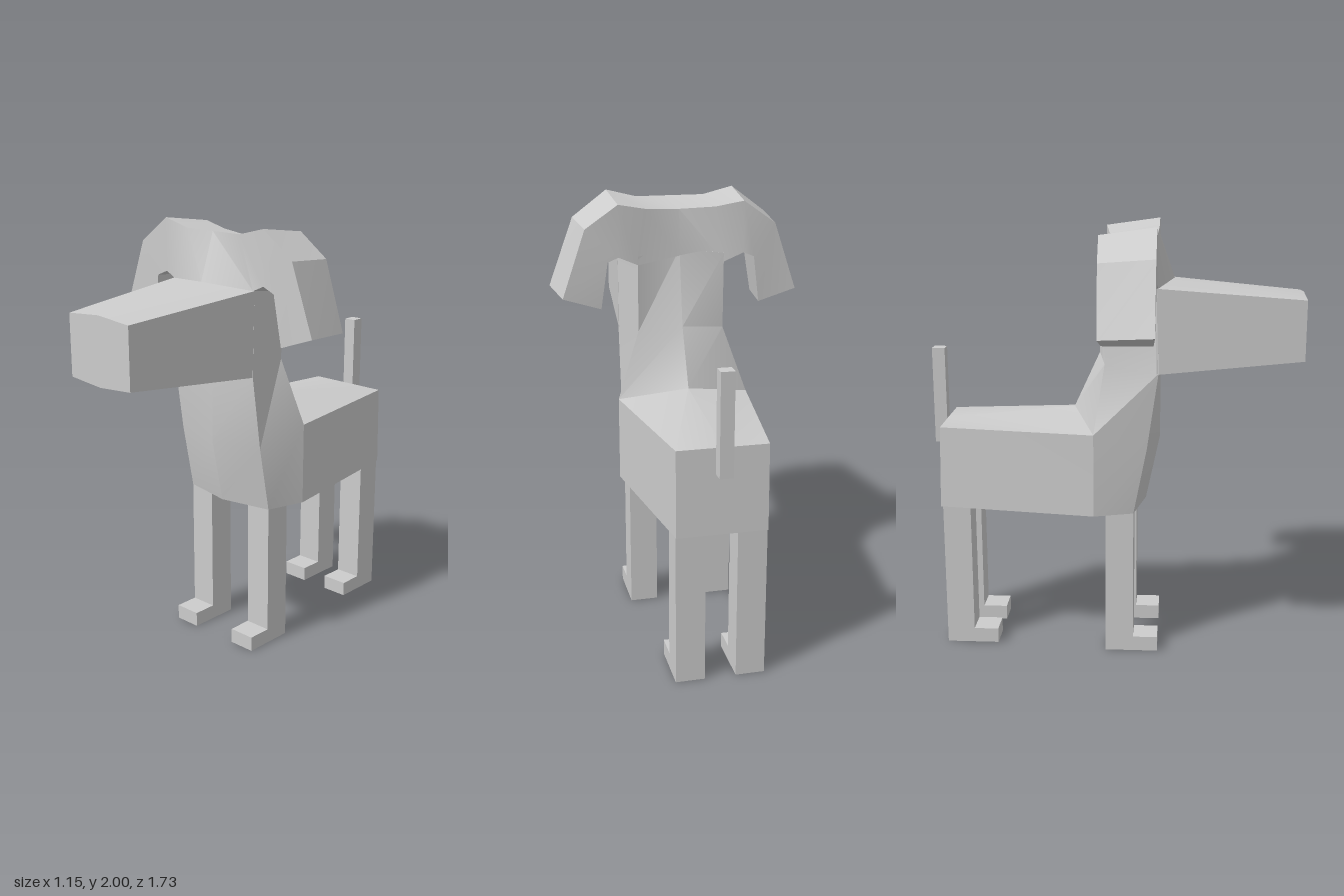
import * as THREE from 'three';
import { toCreasedNormals } from 'three/addons/utils/BufferGeometryUtils.js';

const material = new THREE.MeshStandardMaterial({ color: 0xcccccc });

// Completes a half ring (first and last points on x = 0) by mirroring it
const mirrorRing = (half) => [
  ...half,
  ...half.slice(1, -1).reverse().map(([x, y, z]) => [-x, y, z]),
];

// Skins a list of rings and closes both ends
function loft(name, rings) {
  const n = rings[0].length;
  const last = (rings.length - 1) * n;
  const index = [];
  for (let i = 0; i < rings.length - 1; i++) {
    for (let j = 0; j < n; j++) {
      const a = i * n + j, b = i * n + (j + 1) % n;
      index.push(a, b, b + n, a, b + n, a + n);
    }
  }
  for (let j = 1; j < n - 1; j++) {
    index.push(0, j + 1, j, last, last + j, last + j + 1);
  }
  const geometry = new THREE.BufferGeometry();
  geometry.setAttribute('position', new THREE.Float32BufferAttribute(rings.flat(2), 3));
  geometry.setIndex(index);
  const mesh = new THREE.Mesh(toCreasedNormals(geometry, 0.4), material);
  mesh.name = name;
  return mesh;
}

// Box given by its minimum and maximum corners
function box(name, [x0, y0, z0], [x1, y1, z1]) {
  const mesh = new THREE.Mesh(new THREE.BoxGeometry(x1 - x0, y1 - y0, z1 - z0), material);
  mesh.position.set((x0 + x1) / 2, (y0 + y1) / 2, (z0 + z1) / 2);
  mesh.name = name;
  return mesh;
}

// Upright with a short foot pointing forward
function leg(name, x, z) {
  const group = new THREE.Group();
  group.name = name;
  const w = 0.065;
  group.add(
    box('shank', [x - w, 0, z - w], [x + w, 0.7, z + w]),
    box('foot', [x - w, 0, z + w], [x + w, 0.07, z + w + 0.115]),
  );
  return group;
}

export function createModel() {
  const model = new THREE.Group();
  model.name = 'dog';

  // Trunk, rear to shoulders: bottom centre, bottom side, top side, top centre
  model.add(loft('trunk', [
    [[0, 0.69, -0.81], [0.2, 0.69, -0.81], [0.2, 1.075, -0.8], [0, 1.075, -0.8]],
    [[0, 0.69, -0.08], [0.305, 0.69, -0.08], [0.305, 1.075, -0.08], [0, 1.14, -0.19]],
  ].map(mirrorRing)));

  // Chest and neck, upward: front centre, front side, back side, back centre
  model.add(loft('chestAndNeck', [
    [[0, 0.69, 0.15], [0.25, 0.69, 0.1], [0.305, 0.69, -0.08], [0, 0.69, -0.08]],
    [[0, 1.0, 0.215], [0.25, 1.0, 0.16], [0.305, 1.075, -0.08], [0, 1.14, -0.19]],
    [[0, 1.35, 0.21], [0.25, 1.35, 0.21], [0.2, 1.38, -0.035], [0, 1.4, -0.07]],
    [[0, 1.75, 0.2], [0.25, 1.73, 0.2], [0.2, 1.73, -0.045], [0, 1.75, -0.01]],
  ].map(mirrorRing)));

  // Muzzle, from the face to the nose
  model.add(loft('muzzle', [
    [[0, 1.345, 0.2], [0.25, 1.345, 0.2], [0.25, 1.73, 0.2], [0, 1.75, 0.275]],
    [[0, 1.385, 0.865], [0.185, 1.4, 0.865], [0.185, 1.675, 0.865], [0, 1.69, 0.865]],
  ].map(mirrorRing)));

  // Crown and drooping ears: top front, bottom front, bottom back, top back
  const stations = [
    [[0, 1.965, 0.2], [0, 1.75, 0.275], [0, 1.72, -0.015], [0, 1.93, 0]],
    [[0.16, 1.965, 0.2], [0.245, 1.73, 0.205], [0.2, 1.69, -0.045], [0.16, 1.94, -0.035]],
    [[0.3, 2, 0.2], [0.3, 1.755, 0.2], [0.29, 1.73, -0.055], [0.29, 1.965, -0.055]],
    [[0.46, 1.88, 0.2], [0.36, 1.73, 0.2], [0.34, 1.71, -0.055], [0.44, 1.86, -0.05]],
    [[0.575, 1.565, 0.2], [0.395, 1.5, 0.19], [0.37, 1.495, -0.04], [0.545, 1.55, -0.045]],
  ];
  const mirrored = stations.slice(1).reverse()
    .map((ring) => ring.map(([x, y, z]) => [-x, y, z]));
  model.add(loft('crownAndEars', [...mirrored, ...stations]));

  // Legs
  for (const [side, s] of [['Left', 1], ['Right', -1]]) {
    model.add(leg(`front${side}Leg`, s * 0.185, 0.035));
    model.add(leg(`rear${side}Leg`, s * 0.135, -0.735));
  }

  // Tail
  model.add(box('tail', [-0.03, 0.96, -0.86], [0.03, 1.415, -0.8]));

  return model;
}
